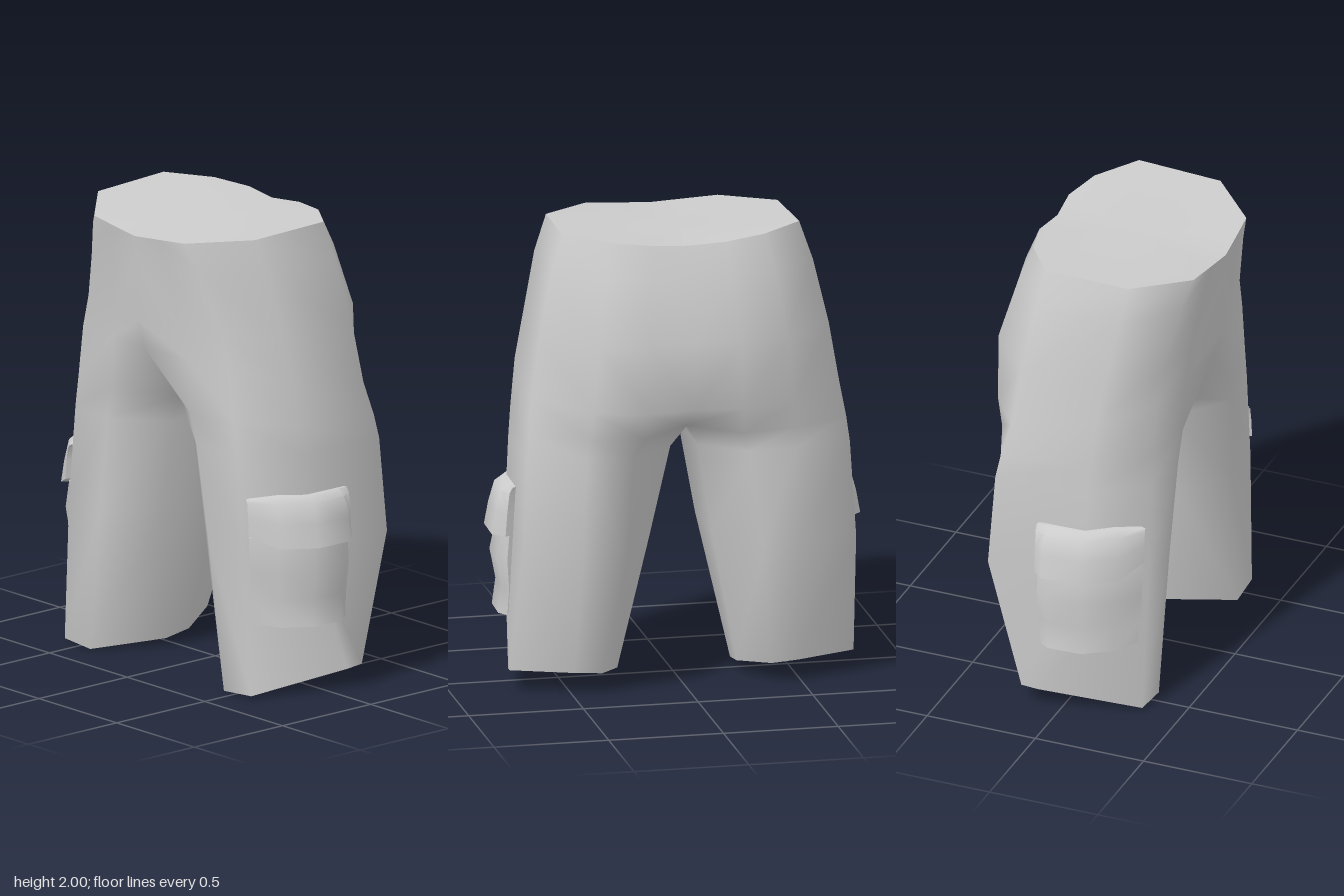
import * as THREE from 'three';
import { mergeVertices, toCreasedNormals } from 'three/addons/utils/BufferGeometryUtils.js';

const cloth = new THREE.MeshStandardMaterial({ color: 0xcccccc });
cloth.name = 'grey cloth';

// Half-body ring, front centre -> outside -> back centre, on a plane tilted in z and x
function ring(y, tilt, inner, outer, frontX, midZ, frontZ, cornerZ, sideF, sideB, cheekZ, backZ, midBackZ, tiltX = 0) {
  const cheekX = outer * .65;
  return [
    [inner, midZ],
    [inner + (frontX - inner) * .5, frontZ],
    [frontX, cornerZ],
    [outer - .01, sideF],
    [outer, sideB],
    [cheekX, cheekZ],
    [inner + (cheekX - inner) * .48, backZ],
    [inner, midBackZ],
  ].map(([x, z]) => [x, y + tilt * z + tiltX * x, z]);
}

// Waist to hem; the inner side of the leg is closed from the crotch ring down
const CROTCH = 4;
const RINGS = [
  ring(1.96, -.03, 0, .515, .29, .458, .445, .43, .22, -.16, -.29, -.335, -.32, .075),
  ring(1.84, 0, 0, .57, .34, .45, .425, .395, .2, -.18, -.345, -.39, -.375),
  ring(1.57, 0, 0, .63, .43, .435, .385, .34, .16, -.22, -.42, -.463, -.45),
  ring(1.36, .2, 0, .67, .47, .4, .37, .335, .135, -.25, -.41, -.452, -.435),
  ring(1.18, .06, 0, .692, .5, .2, .365, .335, .12, -.29, -.385, -.422, -.28),
  ring(1.06, 0, .06, .703, .52, .18, .36, .335, .11, -.31, -.365, -.375, -.22),
  ring(.65, 0, .135, .725, .56, .18, .345, .335, .095, -.335, -.37, -.445, -.15),
  ring(.025, -.15, .26, .75, .6, .05, .33, .325, -.1, -.17, -.27, -.28, -.08, .06),
];

// Triangles of a grid of points; rows from closedFrom on are closed loops
function grid(rows, closedFrom = Infinity) {
  const tris = [];
  for (let i = 0; i < rows.length - 1; i++) {
    const n = rows[i].length;
    for (let j = 0; j < (i >= closedFrom ? n : n - 1); j++) {
      const k = (j + 1) % n;
      const a = rows[i][j], b = rows[i][k], c = rows[i + 1][k], d = rows[i + 1][j];
      tris.push([a, d, c], [a, c, b]);
    }
  }
  return tris;
}

const mirror = tris => tris.map(t => [...t].reverse().map(([x, y, z]) => [-x, y, z]));

function toGeometry(tris) {
  const g = new THREE.BufferGeometry();
  g.setAttribute('position', new THREE.Float32BufferAttribute(tris.flat(2), 3));
  return g;
}

function smooth(tris) {
  const g = mergeVertices(toGeometry(tris), 1e-4);
  g.computeVertexNormals();
  return g;
}

// Pocket columns along the thigh, front to back: x, z, bulge share, forward lean
const COLUMNS = [
  [.565, .325, .3, .2], [.64, .225, .75, .5], [.715, .1, 1, .2], [.72, -.06, 1, 0], [.72, -.11, .4, 0],
];

// Pocket row: height, bulge, rise of the front edge, width factor
function pocketRow([y, bulge, rise, width]) {
  return COLUMNS.map(([x, z, share, lean], j) => {
    const shift = (z - .1) * (1 - width);
    const b = bulge * share;
    return [x + b + Math.max(0, shift) * .6, y + (j ? 0 : rise), z - shift + b * lean];
  });
}

// Raised patch: its border is pulled in toward the leg to form the rim
function patch(profile) {
  const pull = ([x, y, z]) => [x + (.45 - x) * .28, y, z * .72];
  const rows = profile.map(pocketRow).map(r => [pull(r[0]), ...r, pull(r[r.length - 1])]);
  return grid([rows[0].map(pull), ...rows, rows[rows.length - 1].map(pull)]);
}

const POCKET = [[.71, .03, 0, .97], [.56, .06, 0, .96], [.43, .035, 0, .93], [.315, .05, .01, .88]];
const FLAP = [[.885, .003, -.01, 1], [.86, .04, 0, 1], [.77, .065, .03, 1], [.67, .083, .05, 1]];

export function createModel() {
  const group = new THREE.Group();
  const add = (name, geometry) => {
    const mesh = new THREE.Mesh(geometry, cloth);
    mesh.name = name;
    group.add(mesh);
  };

  // Hips and both legs as one smooth skin
  const half = grid(RINGS, CROTCH);
  add('trousers', smooth([...half, ...mirror(half)]));

  // Flat cap at the waist
  const rim = RINGS[0];
  const waist = rim.slice(1).map((p, j) => [[0, 1.97, 0], rim[j], p]);
  add('waistCap', smooth([...waist, ...mirror(waist)]));

  // Hem caps and cargo pockets on each side
  const cuff = RINGS[RINGS.length - 1];
  const hem = cuff.map((p, j) => [[.5, .052, .02], cuff[(j + 1) % cuff.length], p]);
  for (const [side, flip] of [['left', t => t], ['right', mirror]]) {
    add(side + 'HemCap', smooth(flip(hem)));
    add(side + 'Pocket', toCreasedNormals(toGeometry(flip(patch(POCKET))), .95));
    add(side + 'PocketFlap', toCreasedNormals(toGeometry(flip(patch(FLAP))), .95));
  }
  return group;
}
